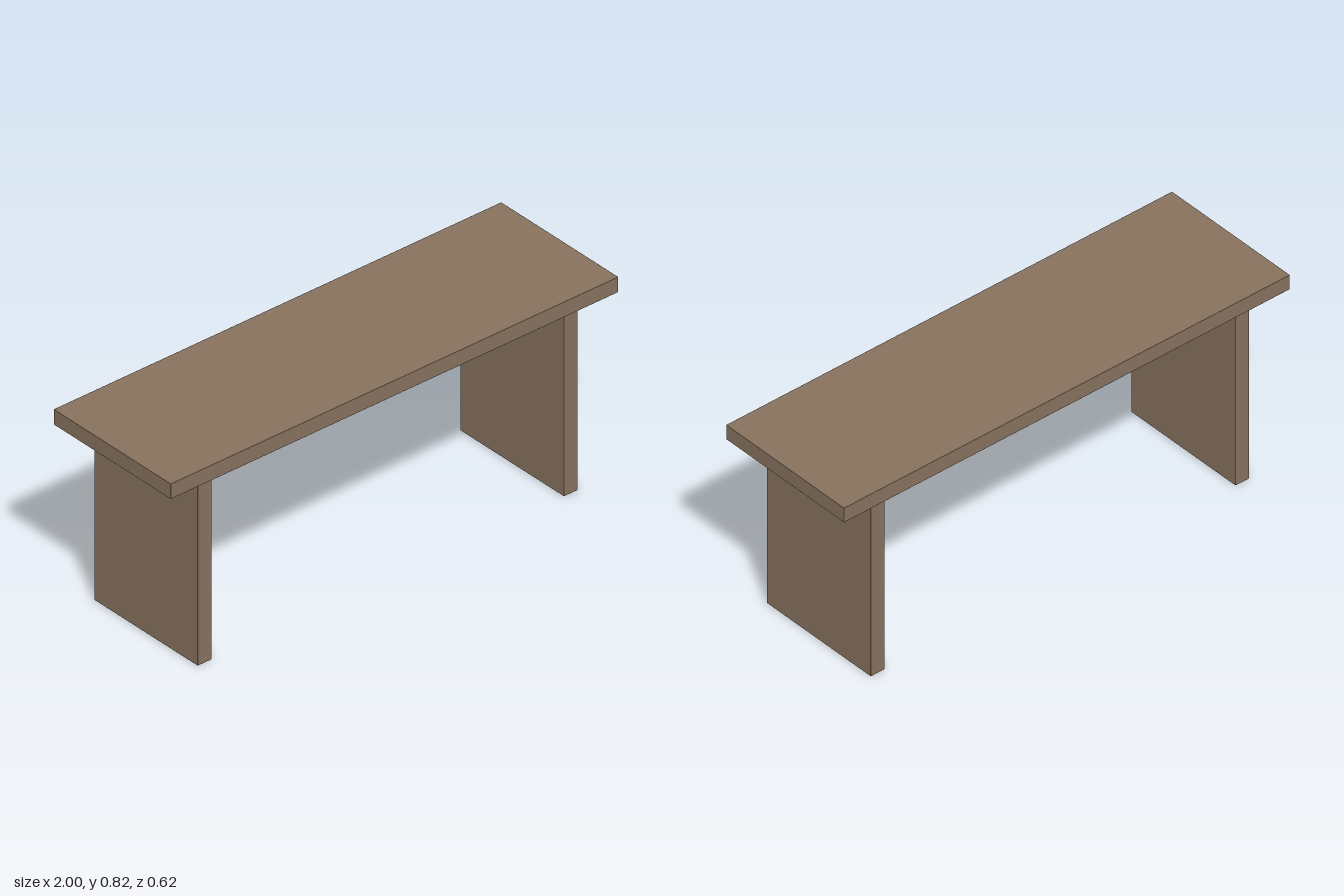
import * as THREE from 'three';
import { RoundedBoxGeometry } from 'three/addons/geometries/RoundedBoxGeometry.js';

export function createModel() {
  const bench = new THREE.Group();
  bench.name = 'bench';
  const wood = new THREE.MeshStandardMaterial({ color: 0x87725e });
  wood.name = 'brown wood';

  // Plank with finely eased edges, placed by its bottom height
  function plank(name, width, height, depth, x, bottom) {
    const mesh = new THREE.Mesh(new RoundedBoxGeometry(width, height, depth, 1, 0.002), wood);
    mesh.name = name;
    mesh.position.set(x, bottom + height / 2, 0);
    bench.add(mesh);
  }

  // Seat board
  plank('seat', 2, 0.062, 0.615, 0, 0.756);

  // Solid panel legs
  for (const side of [-1, 1]) {
    plank(side > 0 ? 'leftLeg' : 'rightLeg', 0.062, 0.756, 0.543, side * 0.818, 0);
  }

  // Centre rail between the legs, just clear of the seat
  plank('rail', 1.576, 0.142, 0.046, 0, 0.602);

  return bench;
}
